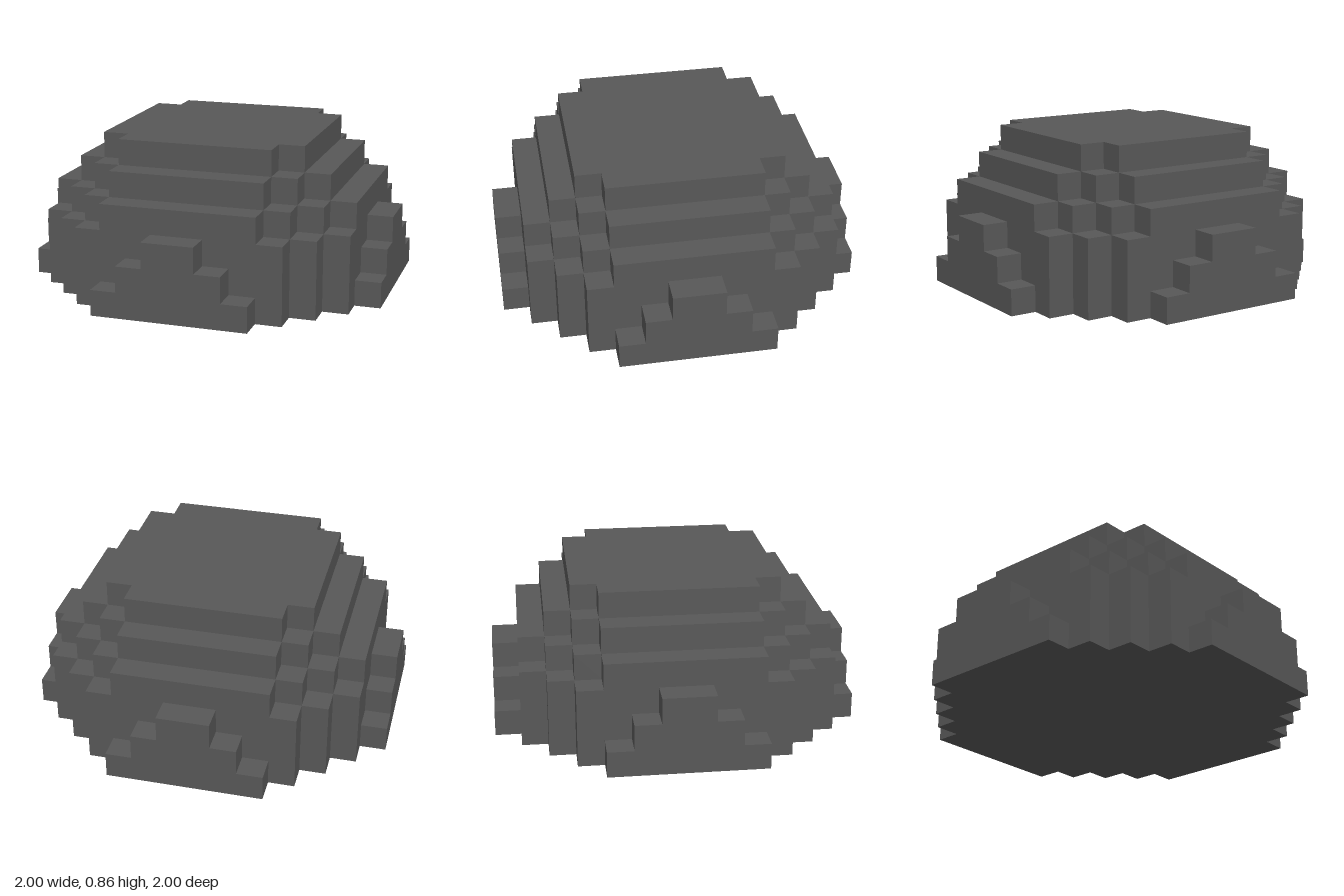
import * as THREE from 'three';

const U = 1 / 7; // size of one block

// Four-fold symmetric stepped outline from the outer corners of one quadrant
function steppedOutline(corners) {
  const quarter = [];
  corners.forEach(([x, y], i) => {
    quarter.push([x, y]);
    if (i + 1 < corners.length) quarter.push([corners[i + 1][0], y]);
  });
  const points = [];
  for (let turn = 0; turn < 4; turn++) {
    for (const [x, y] of quarter) {
      const [px, py] = [[x, y], [-y, x], [-x, -y], [y, -x]][turn];
      points.push(new THREE.Vector2(px * U, py * U));
    }
  }
  return new THREE.Shape(points);
}

function extrude(shape, depth) {
  return new THREE.ExtrudeGeometry(shape, { depth, bevelEnabled: false });
}

export function createModel() {
  const model = new THREE.Group();
  model.name = 'blockDome';
  const stone = new THREE.MeshStandardMaterial({ color: 0x585858 });
  stone.name = 'dark grey';

  // Stacked tiers: name, bottom, height and quadrant corners, in blocks
  const tiers = [
    ['baseTier', 0, 3, [[6, 4], [5, 5], [4, 6]]],
    ['lowerTier', 3, 1, [[6, 3], [5, 4], [4, 5], [3, 6]]],
    ['upperTier', 4, 1, [[5, 3], [4, 4], [3, 5]]],
    ['topTier', 5, 1, [[4, 3], [3, 4]]],
  ];
  for (const [name, bottom, height, corners] of tiers) {
    const geometry = extrude(steppedOutline(corners), height * U);
    geometry.rotateX(-Math.PI / 2);
    const tier = new THREE.Mesh(geometry, stone);
    tier.name = name;
    tier.position.y = bottom * U;
    model.add(tier);
  }

  // Stepped triangular plate on the middle of each side
  const profile = [[-3, 0], [3, 0], [3, 1], [2, 1], [2, 2], [1, 2],
    [1, 3], [-1, 3], [-1, 2], [-2, 2], [-2, 1], [-3, 1]];
  const plateShape = new THREE.Shape(profile.map(([x, y]) => new THREE.Vector2(x * U, y * U)));
  const plateGeometry = extrude(plateShape, U);
  plateGeometry.translate(0, 0, 6 * U);
  ['front', 'left', 'back', 'right'].forEach((side, i) => {
    const plate = new THREE.Mesh(plateGeometry, stone);
    plate.name = side + 'SteppedPlate';
    plate.rotation.y = i * Math.PI / 2;
    model.add(plate);
  });

  return model;
}
